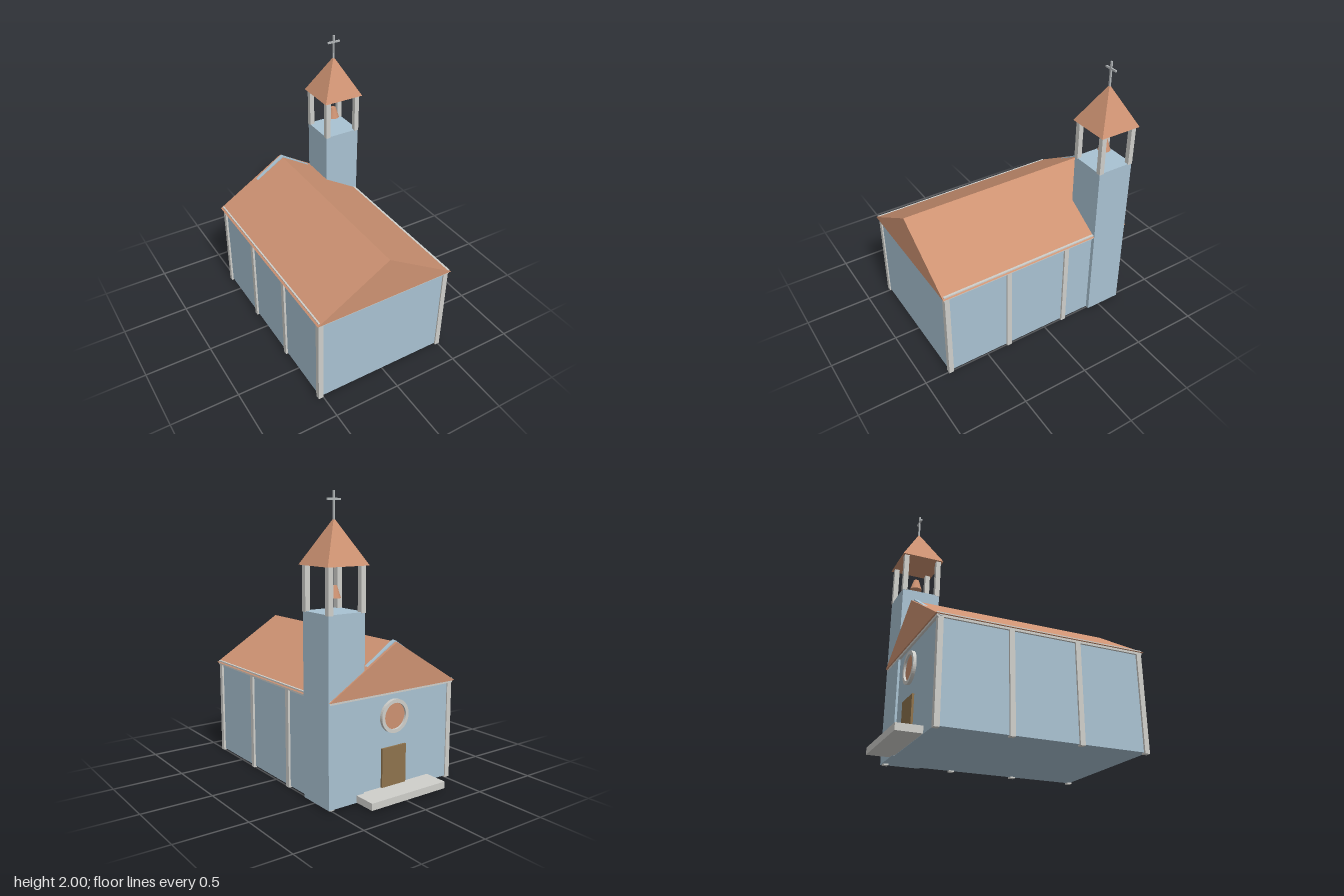
import * as THREE from 'three';

const material = (name, color) => {
  const m = new THREE.MeshStandardMaterial({ color });
  m.name = name;
  return m;
};

export function createModel() {
  const wall = material('pale blue wall', 0xa9c2d2);
  const tile = material('terracotta', 0xcd9272);
  const stone = material('light stone', 0xcfcfcb);
  const wood = material('brown wood', 0x8e734d);
  const metal = material('grey metal', 0xb2b6b8);

  const model = new THREE.Group();
  model.name = 'chapel';
  const add = (name, geometry, mat, x = 0, y = 0, z = 0) => {
    const mesh = new THREE.Mesh(geometry, mat);
    mesh.name = name;
    mesh.position.set(x, y, z);
    model.add(mesh);
    return mesh;
  };
  // Box given by its extents on each axis
  const box = (name, mat, x0, x1, y0, y1, z0, z1) =>
    add(name, new THREE.BoxGeometry(x1 - x0, y1 - y0, z1 - z0), mat,
      (x0 + x1) / 2, (y0 + y1) / 2, (z0 + z1) / 2);
  // Triangular prism running along z
  const prism = (name, mat, cx, half, y0, y1, z0, z1) => {
    const shape = new THREE.Shape([
      new THREE.Vector2(-half, y0), new THREE.Vector2(half, y0), new THREE.Vector2(0, y1),
    ]);
    return add(name, new THREE.ExtrudeGeometry(shape, { depth: z1 - z0, bevelEnabled: false }),
      mat, cx, 0, z0);
  };

  // Nave with pillars and eaves beam
  const mid = -0.0125;
  box('nave', wall, -0.522, 0.497, 0.01, 0.7, -0.66, 0.81);
  for (const x of [-0.518, 0.493]) {
    for (const z of [0.802, 0.318, -0.166, -0.65]) {
      box('pillar', stone, x - 0.019, x + 0.019, 0, 0.7, z - 0.018, z + 0.018);
    }
  }
  box('eavesBeam', stone, -0.537, 0.516, 0.694, 0.725, -0.677, 0.825);

  // Roof, with the gable wall just breaking through at the ridge
  prism('roof', tile, mid, 0.5375, 0.71, 1.038, -0.687, 0.835);
  prism('gableWall', wall, mid, 0.53, 0.7, 1.049, -0.667, -0.637);

  // Entrance
  box('entranceStep', stone, -0.33, 0.305, 0.012, 0.06, -0.836, -0.655);
  box('door', wood, -0.115, 0.09, 0.06, 0.33, -0.675, -0.655);
  const disc = add('roundWindow', new THREE.CylinderGeometry(0.095, 0.095, 0.008, 32), tile, mid, 0.54, -0.664);
  disc.rotation.x = Math.PI / 2;
  const ring = new THREE.Shape().absarc(0, 0, 0.115, 0, Math.PI * 2);
  ring.holes.push(new THREE.Path().absarc(0, 0, 0.09, 0, Math.PI * 2, true));
  add('windowFrame', new THREE.ExtrudeGeometry(ring, { depth: 0.028, bevelEnabled: false, curveSegments: 24 }),
    stone, mid, 0.54, -0.683);

  // Bell tower
  const tx = 0.386, tz = -0.536;
  box('tower', wall, tx - 0.14, tx + 0.14, 0.01, 1.256, tz - 0.14, tz + 0.14);
  for (const sx of [-1, 1]) {
    for (const sz of [-1, 1]) {
      const x = tx + sx * 0.125, z = tz + sz * 0.125;
      box('belfryPost', stone, x - 0.018, x + 0.018, 1.25, 1.55, z - 0.018, z + 0.018);
    }
  }
  const spire = new THREE.CylinderGeometry(0, 0.159 * Math.SQRT2, 0.29, 4, 1, false, Math.PI / 4).toNonIndexed();
  spire.computeVertexNormals();
  add('towerRoof', spire, tile, tx, 1.69, tz);

  // Bell and cross
  add('bell', new THREE.CylinderGeometry(0.02, 0.045, 0.08, 24), tile, tx, 1.38, tz);
  box('crossPost', metal, tx - 0.006, tx + 0.006, 1.82, 2, tz - 0.006, tz + 0.006);
  box('crossBar', metal, tx - 0.05, tx + 0.05, 1.942, 1.955, tz - 0.0055, tz + 0.0055);

  return model;
}
